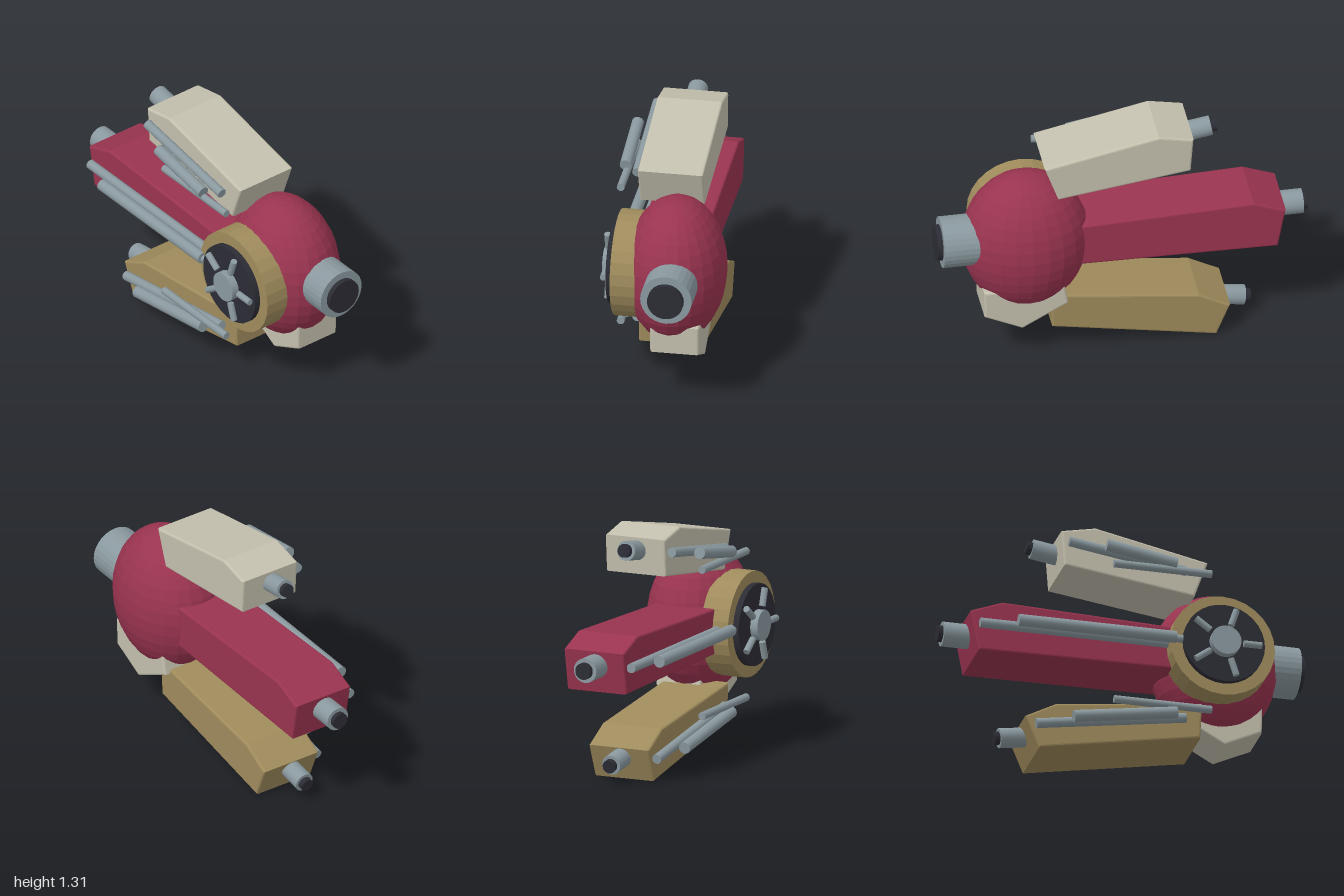
import * as THREE from 'three';

const material = (name, color) => {
  const m = new THREE.MeshStandardMaterial({ color });
  m.name = name;
  return m;
};

export function createModel() {
  const model = new THREE.Group();
  const crimson = material('crimson', 0x9a3450);
  const ochre = material('ochre', 0x9f8b5c);
  const cream = material('cream', 0xc4c0ae);
  const steel = material('steel', 0x8a999f);
  const dark = material('charcoal', 0x2c2c35);

  const add = (parent, name, geometry, mat) => {
    const mesh = new THREE.Mesh(geometry, mat);
    mesh.name = name;
    parent.add(mesh);
    return mesh;
  };
  const group = (name) => {
    const g = new THREE.Group();
    g.name = name;
    model.add(g);
    return g;
  };
  // Split shared vertices so every facet is flat
  const faceted = (geometry) => {
    const g = geometry.toNonIndexed();
    g.computeVertexNormals();
    return g;
  };
  // Cylinder between two points
  const rod = (parent, name, a, b, r, mat, sides = 16, flat = false) => {
    const p = new THREE.Vector3(...a), q = new THREE.Vector3(...b);
    const d = q.clone().sub(p);
    const geometry = new THREE.CylinderGeometry(r, r, d.length(), sides);
    const mesh = add(parent, name, flat ? faceted(geometry) : geometry, mat);
    mesh.position.copy(p).add(q).multiplyScalar(0.5);
    mesh.quaternion.setFromUnitVectors(new THREE.Vector3(0, 1, 0), d.normalize());
    return mesh;
  };
  // Side outline extruded from z0 to z1 with softened edges
  const block = (parent, name, points, z0, z1, mat) => {
    const bevel = 0.012;
    const shape = new THREE.Shape(points.map(([x, y]) => new THREE.Vector2(x, y)));
    const geometry = new THREE.ExtrudeGeometry(shape, {
      depth: z1 - z0 - 2 * bevel, bevelSize: bevel, bevelThickness: bevel,
      bevelOffset: -bevel, bevelSegments: 3,
    });
    geometry.translate(0, 0, z0 + bevel);
    return add(parent, name, geometry, mat);
  };

  // Egg-shaped body
  const sphere = faceted(new THREE.SphereGeometry(1, 24, 18).scale(0.34, 0.402, 0.27));
  add(model, 'body', sphere, crimson).position.set(0.515, 0.672, -0.055);

  // Side nozzle on the body
  const port = group('bodyNozzle');
  rod(port, 'nozzleBarrel', [0.72, 0.71, -0.08], [0.97, 0.71, -0.08], 0.137, steel, 28, true);
  rod(port, 'nozzleMouth', [0.95, 0.71, -0.08], [0.998, 0.71, -0.08], 0.096, dark, 28);

  // Front wheel: rim, plate, hub and five spokes
  const wheel = group('frontWheel');
  const cx = 0.487, cy = 0.667;
  rod(wheel, 'wheelRim', [cx, cy, 0.1], [cx, cy, 0.255], 0.283, ochre, 28, true);
  rod(wheel, 'wheelPlate', [cx, cy, 0.24], [cx, cy, 0.288], 0.22, dark, 32);
  rod(wheel, 'wheelHub', [cx, cy, 0.27], [cx, cy, 0.33], 0.082, steel, 24);
  for (let i = 0; i < 5; i++) {
    const a = (i * Math.PI * 2) / 5, c = Math.cos(a), s = Math.sin(a);
    rod(wheel, 'wheelSpoke', [cx + 0.1 * c, cy + 0.1 * s, 0.304],
      [cx + 0.198 * c, cy + 0.198 * s, 0.304], 0.018, steel, 12);
  }

  // Three arms, each with an end nozzle and three pipes
  const arms = [
    {
      name: 'upperArm', mat: cream,
      outline: [[-0.365, 1.273], [-0.35, 1.075], [0.357, 0.975], [0.43, 1.18], [-0.18, 1.31]],
      nozzle: [[-0.3, 1.195], [-0.487, 1.225], [-0.515, 1.23]], radius: 0.053,
      rear: [[-0.33, 1.203], [0.302, 1.105]], front: [[-0.145, 1.172], [0.235, 1.107]], thinY: 1.072,
    },
    {
      name: 'middleArm', mat: crimson,
      outline: [[-0.857, 0.755], [-0.815, 0.53], [0.32, 0.545], [0.32, 0.785], [-0.685, 0.82]],
      nozzle: [[-0.78, 0.675], [-0.975, 0.675], [-1, 0.675]], radius: 0.066,
      rear: [[-0.815, 0.675], [0.302, 0.677]], front: [[-0.625, 0.68], [0.23, 0.682]], thinY: 0.677,
    },
    {
      name: 'lowerArm', mat: ochre,
      outline: [[-0.56, 0.18], [-0.487, 0.002], [0.39, 0.16], [0.4, 0.362], [-0.395, 0.267]],
      nozzle: [[-0.48, 0.135], [-0.665, 0.107], [-0.693, 0.102]], radius: 0.053,
      rear: [[-0.51, 0.127], [0.302, 0.255]], front: [[-0.325, 0.158], [0.235, 0.245]], thinY: 0.286,
    },
  ];
  for (const arm of arms) {
    const g = group(arm.name);
    const [root, lip, tip] = arm.nozzle;
    block(g, 'armShell', arm.outline, -0.183, 0.166, arm.mat);
    rod(g, 'armNozzle', [...root, 0], [...lip, 0], arm.radius, steel, 20);
    rod(g, 'armNozzleTip', [...lip, 0], [...tip, 0], arm.radius * 0.68, dark, 20);
    rod(g, 'rearPipe', [...arm.rear[0], 0.19], [...arm.rear[1], 0.19], 0.026, steel);
    rod(g, 'frontPipe', [...arm.front[0], 0.262], [...arm.front[1], 0.262], 0.032, steel);
    rod(g, 'thinPipe', [-0.105, arm.thinY, 0.256], [0.425, arm.thinY, 0.256], 0.021, steel, 12);
  }

  // Wedge under the body
  block(model, 'bellyWedge',
    [[0.31, 0.33], [0.555, 0.195], [0.757, 0.29], [0.76, 0.445], [0.33, 0.45]], -0.218, 0.042, cream);

  return model;
}
